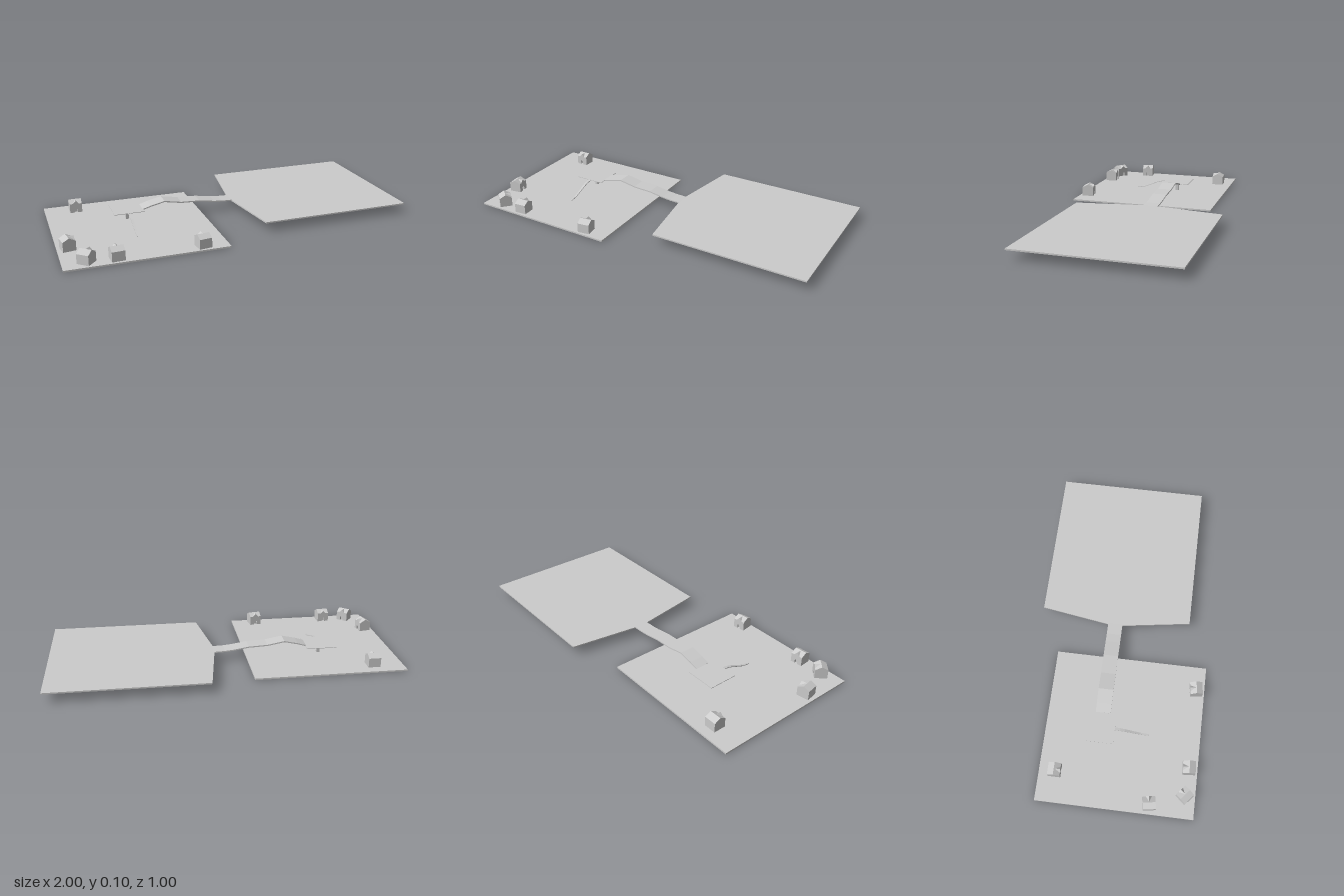
import * as THREE from 'three';

const material = new THREE.MeshStandardMaterial({ color: 0xcccccc, flatShading: true, side: THREE.DoubleSide });

function mesh(name, geometry) {
  const m = new THREE.Mesh(geometry, material);
  m.name = name;
  return m;
}

function extrude(points, depth) {
  const shape = new THREE.Shape(points.map(([x, y]) => new THREE.Vector2(x, y)));
  return new THREE.ExtrudeGeometry(shape, { depth, bevelEnabled: false });
}

// Outline in plan (x, z), raised from y0 to y1
function slab(points, y0, y1) {
  return extrude(points.map(([x, z]) => [x, -z]), y1 - y0).rotateX(-Math.PI / 2).translate(0, y0, 0);
}

// Side profile of a road: its top line, closed by the same line lowered by its thickness
function roadProfile(top, thickness) {
  return [...top, ...top.map(([x, y]) => [x, y - thickness]).reverse()];
}

// Small gabled house, its door and door gable facing +z
function createHouse(x, z, degrees) {
  const house = new THREE.Group();
  house.name = 'house';
  const w = 0.035, ground = 0.008, doorTop = 0.033, eave = 0.063, ridge = 0.082;
  const door = 0.009, recess = 0.012;

  house.add(mesh('lowerWalls', slab([
    [-w, -w], [w, -w], [w, w], [door, w], [door, w - recess],
    [-door, w - recess], [-door, w], [-w, w],
  ], ground, doorTop)));

  const upper = extrude([[-w, doorTop], [w, doorTop], [w, eave], [0, ridge], [-w, eave]], 2 * w);
  house.add(mesh('upperWallsAndRoof', upper.translate(0, 0, -w).rotateY(Math.PI / 2)));

  house.add(mesh('doorGable', extrude([[-0.018, eave - 0.001], [0.018, eave - 0.001], [0, ridge - 0.002]], w)));

  house.position.set(x, 0, z);
  house.rotation.y = THREE.MathUtils.degToRad(degrees);
  return house;
}

export function createModel() {
  const model = new THREE.Group();
  model.name = 'village';

  // Two ground plates at different heights
  model.add(mesh('lowerGround', slab([[-1, -0.38], [-0.13, -0.38], [-0.13, 0.5], [-1, 0.5]], 0, 0.009)));
  model.add(mesh('upperGround', slab([
    [0.12, -0.5], [1, -0.5], [1, 0.375], [0.12, 0.375], [0.06, -0.02], [0.06, -0.105],
  ], 0.052, 0.06)));

  // Humped bridge between platform and upper ground
  const bridgeTop = [[-0.48, 0.071], [-0.43, 0.086], [-0.35, 0.104], [-0.25, 0.086], [-0.14, 0.081],
    [-0.05, 0.067], [0, 0.062], [0.065, 0.06]];
  model.add(mesh('bridge', extrude(roadProfile(bridgeTop, 0.007), 0.085).translate(0, 0, -0.105)));

  // Platform on a flared post
  model.add(mesh('platform', slab([[-0.65, -0.155], [-0.475, -0.155], [-0.475, 0.015], [-0.65, 0.015]], 0.067, 0.07)));
  const flare = new THREE.CylinderGeometry(0.07, 0.011, 0.011, 4).rotateY(Math.PI / 4);
  model.add(mesh('platformFlare', flare.translate(-0.5635, 0.062, -0.067)));
  const post = new THREE.BoxGeometry(0.017, 0.052, 0.02);
  model.add(mesh('platformPost', post.translate(-0.5635, 0.033, -0.065)));

  // Curved ramp down to the lower ground, narrowing at its foot
  const rampTop = [[0.01, 0.07], [0.045, 0.064], [0.072, 0.056], [0.112, 0.039], [0.16, 0.02], [0.21, 0.011]];
  const ramp = extrude(roadProfile(rampTop, 0.004), 0.017).translate(0, 0, -0.0085).rotateY(-Math.PI / 2);
  const p = ramp.attributes.position;
  for (let i = 0; i < p.count; i++) {
    p.setX(i, p.getX(i) * THREE.MathUtils.mapLinear(p.getZ(i), 0.01, 0.21, 1, 0.5));
  }
  model.add(mesh('ramp', ramp.translate(-0.563, 0, 0)));

  // Houses: x, z and the direction the door faces
  for (const [x, z, degrees] of [
    [-0.825, -0.29, 0], [-0.943, 0.25, 99], [-0.877, 0.44, 139], [-0.725, 0.45, 184], [-0.27, 0.45, 188],
  ]) model.add(createHouse(x, z, degrees));

  return model;
}
